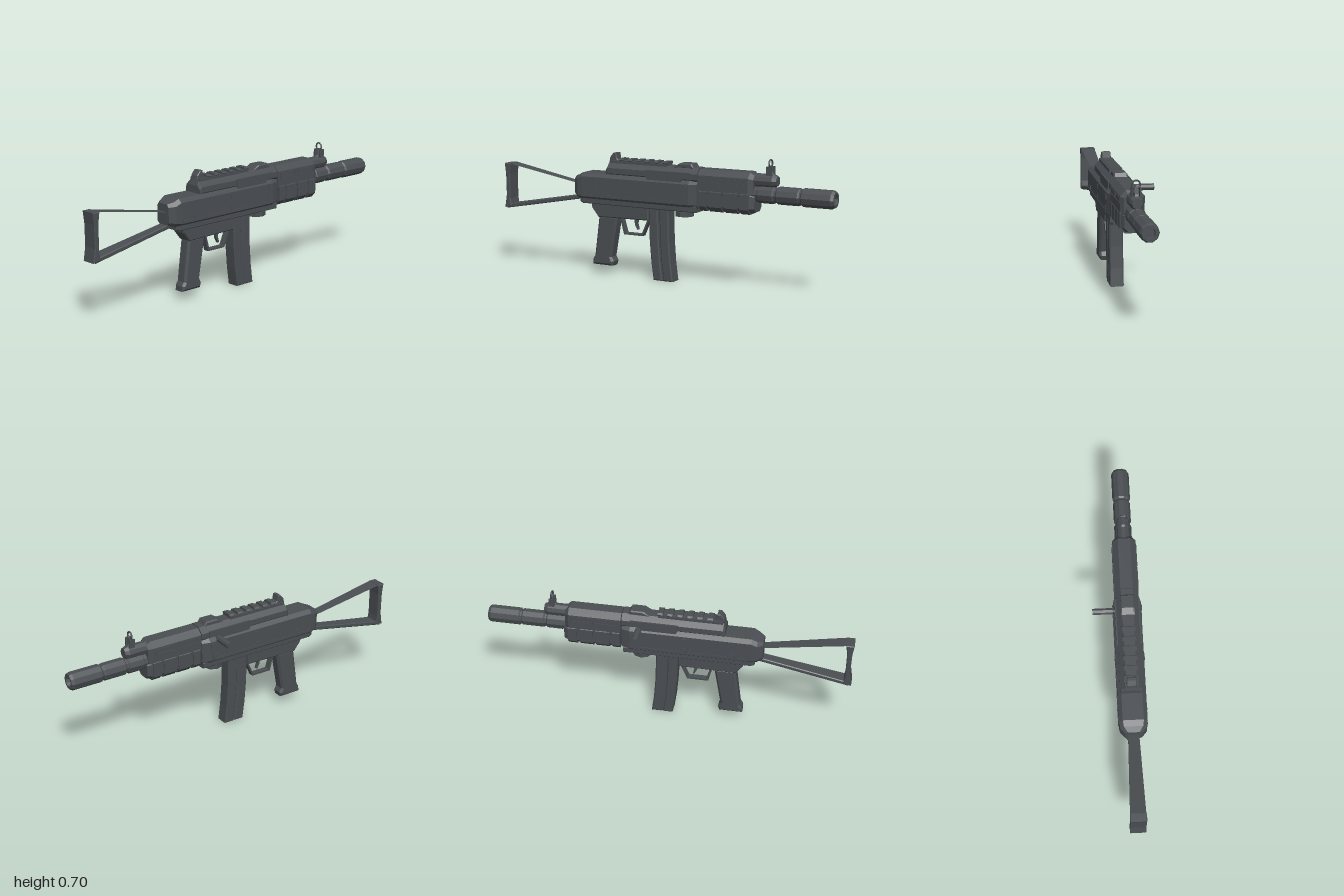
import * as THREE from 'three';

const gunmetal = new THREE.MeshStandardMaterial({ color: 0x4a4e52, flatShading: true });
gunmetal.name = 'gunmetal';

export function createModel() {
  const root = new THREE.Group();
  root.name = 'carbine';
  const gun = new THREE.Group();
  gun.name = 'centreLine';
  gun.position.z = 0.055;
  root.add(gun);

  const add = (name, geo, x = 0, y = 0, z = 0) => {
    const m = new THREE.Mesh(geo, gunmetal);
    m.name = name;
    m.position.set(x, y, z);
    gun.add(m);
    return m;
  };
  const box = (name, x0, x1, y0, y1, z0, z1) =>
    add(name, new THREE.BoxGeometry(x1 - x0, y1 - y0, z1 - z0), (x0 + x1) / 2, (y0 + y1) / 2, (z0 + z1) / 2);

  // Side outline in x, y given thickness and chamfered edges
  const outline = (name, pts, half, bevel = 0, hole = null) => {
    const shape = new THREE.Shape(pts.map(p => new THREE.Vector2(...p)));
    if (hole) shape.holes.push(new THREE.Path(hole.map(p => new THREE.Vector2(...p))));
    const geo = new THREE.ExtrudeGeometry(shape, {
      depth: 2 * (half - bevel), bevelEnabled: bevel > 0, bevelSize: bevel,
      bevelThickness: bevel, bevelOffset: -bevel, bevelSegments: 1, curveSegments: 10,
    });
    geo.translate(0, 0, bevel - half);
    return add(name, geo);
  };

  // Chamfered cross-sections joined along x: [x, yLow, yHigh, halfWidth, topChamfer, bottomChamfer]
  const loft = (name, rings) => {
    const loops = rings.map(([x, y0, y1, w, t = 0.004, b = t]) => [
      [x, y0, w - b], [x, y0, b - w], [x, y0 + b, -w], [x, y1 - t, -w],
      [x, y1, t - w], [x, y1, w - t], [x, y1 - t, w], [x, y0 + b, w]]);
    const pos = [];
    const tri = (...p) => p.forEach(v => pos.push(...v));
    for (let k = 0; k + 1 < loops.length; k++) {
      const A = loops[k], B = loops[k + 1];
      for (let i = 0; i < 8; i++) {
        const j = (i + 1) % 8;
        tri(A[i], A[j], B[i]);
        tri(A[j], B[j], B[i]);
      }
    }
    const first = loops[0], last = loops[loops.length - 1];
    for (let i = 1; i < 7; i++) {
      tri(last[0], last[i], last[i + 1]);
      tri(first[0], first[i + 1], first[i]);
    }
    const geo = new THREE.BufferGeometry();
    geo.setAttribute('position', new THREE.Float32BufferAttribute(pos, 3));
    geo.computeVertexNormals();
    return add(name, geo);
  };

  // Turned part along x, from [radius, x] points
  const turned = (name, pts, y, sides = 10) => {
    const geo = new THREE.LatheGeometry(pts.map(p => new THREE.Vector2(...p)), sides);
    geo.rotateZ(-Math.PI / 2);
    return add(name, geo, 0, y);
  };

  // Receiver
  loft('receiver', [
    [-0.52, 0.43, 0.54, 0.045, 0.015], [-0.49, 0.42, 0.55, 0.07, 0.02],
    [-0.46, 0.415, 0.565, 0.075, 0.02], [0.2, 0.415, 0.565, 0.075, 0.02], [0.245, 0.415, 0.565, 0.062, 0.02]]);
  loft('receiverCover', [
    [-0.315, 0.54, 0.605, 0.055, 0.02], [-0.305, 0.54, 0.63, 0.06, 0.03], [0.245, 0.54, 0.63, 0.062, 0.03]]);
  loft('lowerRail', [[-0.48, 0.4, 0.43, 0.055], [-0.46, 0.395, 0.43, 0.063], [0.24, 0.395, 0.43, 0.063]]);
  for (const s of [1, -1]) {
    const panel = outline('sidePanel',
      [[-0.06, 0.57], [-0.04, 0.53], [0.14, 0.53], [0.16, 0.57], [0.2, 0.57], [0.2, 0.605], [-0.06, 0.605]], 0.004);
    panel.position.z = s * 0.063;
    box('sideStrip', -0.45, 0.18, 0.435, 0.45, s * 0.075 - 0.003, s * 0.075 + 0.003);
    for (const [x, y] of [[-0.36, 0.46], [-0.1, 0.46], [0.17, 0.46], [-0.1, 0.522], [0.18, 0.522]])
      box('pin', x - 0.015, x + 0.015, y - 0.012, y + 0.012, s * 0.075 - 0.004, s * 0.075 + 0.004);
  }

  // Top rail, rear sight and front hump
  box('topRail', -0.3, 0.05, 0.625, 0.64, -0.036, 0.036);
  for (let i = 0; i < 6; i++) {
    const x = -0.245 + i * 0.054;
    loft('railTooth', [[x, 0.635, 0.652, 0.036, 0.008], [x + 0.028, 0.635, 0.652, 0.036, 0.008]]);
  }
  outline('rearSight', [[-0.31, 0.63], [-0.305, 0.655], [-0.285, 0.68], [-0.268, 0.68], [-0.262, 0.65], [-0.24, 0.63]], 0.026, 0.004);
  outline('coverHump', [[0.09, 0.625], [0.13, 0.65], [0.2, 0.65], [0.215, 0.625]], 0.037, 0.006);

  // Charging handle on the far side
  const handle = (name, r, z0, z1) =>
    add(name, new THREE.CylinderGeometry(r, r, z1 - z0, 8).rotateX(Math.PI / 2), 0.15, 0.56, (z0 + z1) / 2);
  handle('handleStem', 0.009, -0.085, -0.05);
  handle('chargingHandle', 0.018, -0.187, -0.08);

  // Handguard with ribs and vent frames
  loft('upperHandguard', [
    [0.25, 0.5, 0.628, 0.063, 0.03, 0.004], [0.54, 0.5, 0.628, 0.063, 0.03, 0.004], [0.562, 0.51, 0.61, 0.045, 0.02, 0.004]]);
  loft('lowerHandguard', [
    [0.255, 0.415, 0.51, 0.06, 0.004, 0.024], [0.545, 0.415, 0.51, 0.06, 0.004, 0.024], [0.57, 0.42, 0.505, 0.045, 0.004, 0.02]]);
  for (const [a, b] of [[0.258, 0.3], [0.315, 0.39], [0.405, 0.48], [0.495, 0.545]])
    loft('handguardRib', [[a, 0.408, 0.518, 0.066, 0.004, 0.026], [b, 0.408, 0.518, 0.066, 0.004, 0.026]]);
  for (const s of [1, -1]) for (const x of [0.265, 0.405]) {
    const r = (a, b, c, d) => [[a, c], [b, c], [b, d], [a, d]];
    const frame = outline('ventFrame', r(x, x + 0.12, 0.557, 0.592), 0.003, 0, r(x + 0.007, x + 0.113, 0.564, 0.585));
    frame.position.z = s * 0.063;
  }

  // Barrel with open muzzle, gas tube and front sight
  turned('barrel', [
    [0, 0.54], [0.044, 0.54], [0.044, 0.58], [0.047, 0.585], [0.047, 0.665], [0.04, 0.672], [0.04, 0.682],
    [0.047, 0.69], [0.047, 0.805], [0.042, 0.812], [0.042, 0.82], [0.049, 0.828], [0.049, 0.985],
    [0.041, 1], [0.028, 1], [0.026, 0.975], [0, 0.975]], 0.515);
  turned('gasTube', [[0, 0.55], [0.036, 0.55], [0.036, 0.66], [0.027, 0.682], [0, 0.682]], 0.587);
  outline('frontSightBase', [[0.6, 0.61], [0.622, 0.63], [0.632, 0.665], [0.648, 0.665], [0.654, 0.63], [0.67, 0.61]], 0.011, 0.002);
  add('frontSightRing', new THREE.TorusGeometry(0.02, 0.005, 5, 12).rotateY(Math.PI / 2), 0.64, 0.677);
  for (const s of [1, -1]) box('sightEar', 0.625, 0.655, 0.615, 0.662, s * 0.021 - 0.004, s * 0.021 + 0.004);

  // Grip, trigger and guard
  outline('gripFrame', [[-0.42, 0.4], [-0.415, 0.37], [-0.375, 0.32], [-0.06, 0.325], [-0.06, 0.4]], 0.042, 0.006);
  outline('pistolGrip', [
    [-0.375, 0.33], [-0.26, 0.33], [-0.265, 0.29], [-0.298, 0.1], [-0.285, 0.075], [-0.292, 0.05],
    [-0.42, 0.05], [-0.418, 0.08], [-0.405, 0.1]], 0.036, 0.012);
  outline('triggerGuard', [[-0.25, 0.33], [-0.225, 0.232], [-0.108, 0.232], [-0.065, 0.33]], 0.016, 0,
    [[-0.237, 0.322], [-0.215, 0.242], [-0.114, 0.242], [-0.079, 0.322]]);
  outline('trigger', [[-0.165, 0.33], [-0.16, 0.29], [-0.145, 0.262], [-0.138, 0.265], [-0.146, 0.295], [-0.142, 0.33]], 0.008);

  // Magazine with raised rear and front halves
  const magazine = (name, u0, u1, half) => {
    const at = (u, y, left, right) => [left + (right - left) * u, y];
    const rows = [[0, -0.03, 0.088], [0.1, -0.044, 0.075], [0.22, -0.054, 0.066], [0.4, -0.06, 0.062]];
    const pts = rows.map(([y, l, r]) => at(u1, y, l, r));
    outline(name, [...pts, ...rows.map(([y, l, r]) => at(u0, y, l, r)).reverse()], half, 0.006);
  };
  magazine('magazineCore', 0.05, 0.95, 0.032);
  magazine('magazineRear', 0, 0.46, 0.038);
  magazine('magazineFront', 0.54, 1, 0.038);
  box('magazineWell', -0.07, 0.07, 0.385, 0.41, -0.046, 0.046);

  // Knob under the receiver
  add('knob', new THREE.CylinderGeometry(0.053, 0.053, 0.024, 8), 0.143, 0.376, 0);
  add('knobNeck', new THREE.CylinderGeometry(0.04, 0.04, 0.025, 8), 0.143, 0.395, 0);

  // Skeleton stock
  outline('buttPlate', [
    [-1, 0.325], [-0.955, 0.335], [-0.963, 0.38], [-0.963, 0.52], [-0.955, 0.58],
    [-0.998, 0.58], [-0.99, 0.52], [-0.988, 0.4]], 0.043, 0.004);
  loft('lowerStrut', [[-0.985, 0.322, 0.345, 0.04], [-0.49, 0.412, 0.435, 0.028]]);
  // Upper strut: top and bottom skins with open sides
  const skin = (name, dy, flip) => {
    const geo = new THREE.BufferGeometry();
    geo.setAttribute('position', new THREE.Float32BufferAttribute([
      -0.965, 0.552 + dy, 0.04, -0.5, 0.468 + dy, 0.028, -0.5, 0.468 + dy, -0.028, -0.965, 0.552 + dy, -0.04], 3));
    geo.setIndex(flip ? [0, 2, 1, 0, 3, 2] : [0, 1, 2, 0, 2, 3]);
    geo.computeVertexNormals();
    add(name, geo);
  };
  skin('upperStrutTop', 0.028, false);
  skin('upperStrutBottom', 0, true);

  return root;
}
